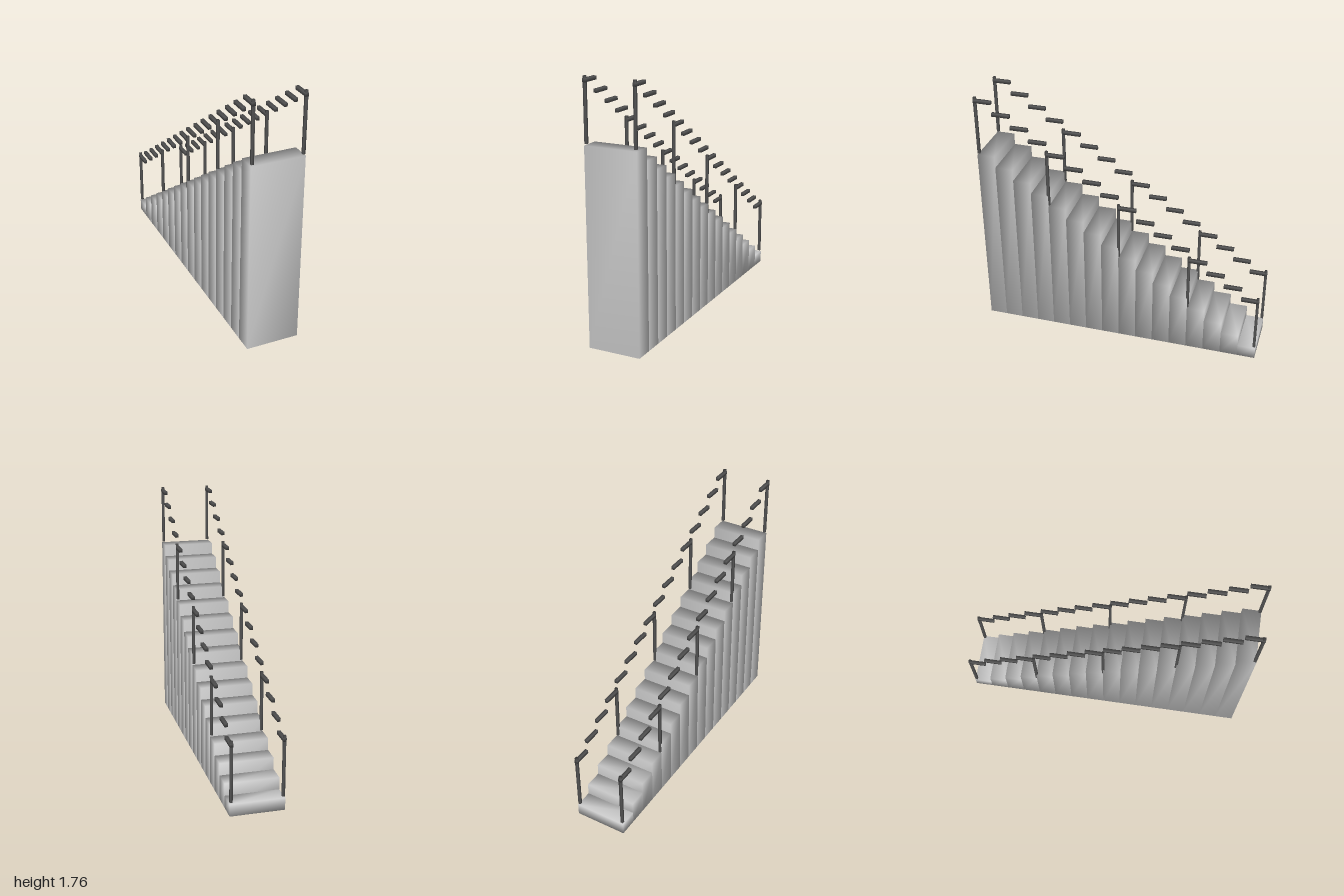
import * as THREE from 'three';
import { mergeVertices } from 'three/addons/utils/BufferGeometryUtils.js';

const STEPS = 16;
const RUN = 2 / STEPS;
const RISE = RUN * 2 / 3;
const WIDTH = 0.366;
const RAIL_X = 0.172;

const stone = new THREE.MeshStandardMaterial({ color: 0xcccccc });
const metal = new THREE.MeshStandardMaterial({ color: 0x555555 });

// Box with shared corners, so its normals blend softly across the edges
function softBox(w, h, d) {
  const box = new THREE.BoxGeometry(w, h, d);
  box.deleteAttribute('normal');
  box.deleteAttribute('uv');
  const geometry = mergeVertices(box);
  geometry.computeVertexNormals();
  return geometry;
}

function addPart(parent, name, geometry, material, x, y, z) {
  const mesh = new THREE.Mesh(geometry, material);
  mesh.name = name;
  mesh.position.set(x, y, z);
  parent.add(mesh);
}

export function createModel() {
  const model = new THREE.Group();
  model.name = 'staircase';
  const stairs = new THREE.Group();
  stairs.name = 'steps';
  model.add(stairs);

  // Solid steps, each reaching the floor and rising toward the front
  for (let i = 0; i < STEPS; i++) {
    const h = RISE * (i + 1);
    addPart(stairs, 'step', softBox(WIDTH, h, RUN), stone, 0, h / 2, -1 + RUN * (i + 0.5));
  }

  // A stepped handrail on each side
  const railGeometry = softBox(0.022, 0.024, RUN);
  const postGeometry = softBox(0.018, 0.417, 0.018);
  // [step index the post stands on, z position]
  const posts = [[0, -0.99], [3, -0.5], [7, 0], [11, 0.5], [15, 0.99]];

  for (const side of [-1, 1]) {
    const railing = new THREE.Group();
    railing.name = side > 0 ? 'leftRailing' : 'rightRailing';
    model.add(railing);
    for (let i = 0; i < STEPS; i++) {
      addPart(railing, 'handrailSegment', railGeometry, metal,
        side * RAIL_X, RISE * (i + 1) + 0.4, -1 + RUN * (i + 0.5));
    }
    for (const [i, z] of posts) {
      addPart(railing, 'post', postGeometry, metal,
        side * RAIL_X, RISE * (i + 1) + 0.219, z);
    }
  }
  return model;
}
